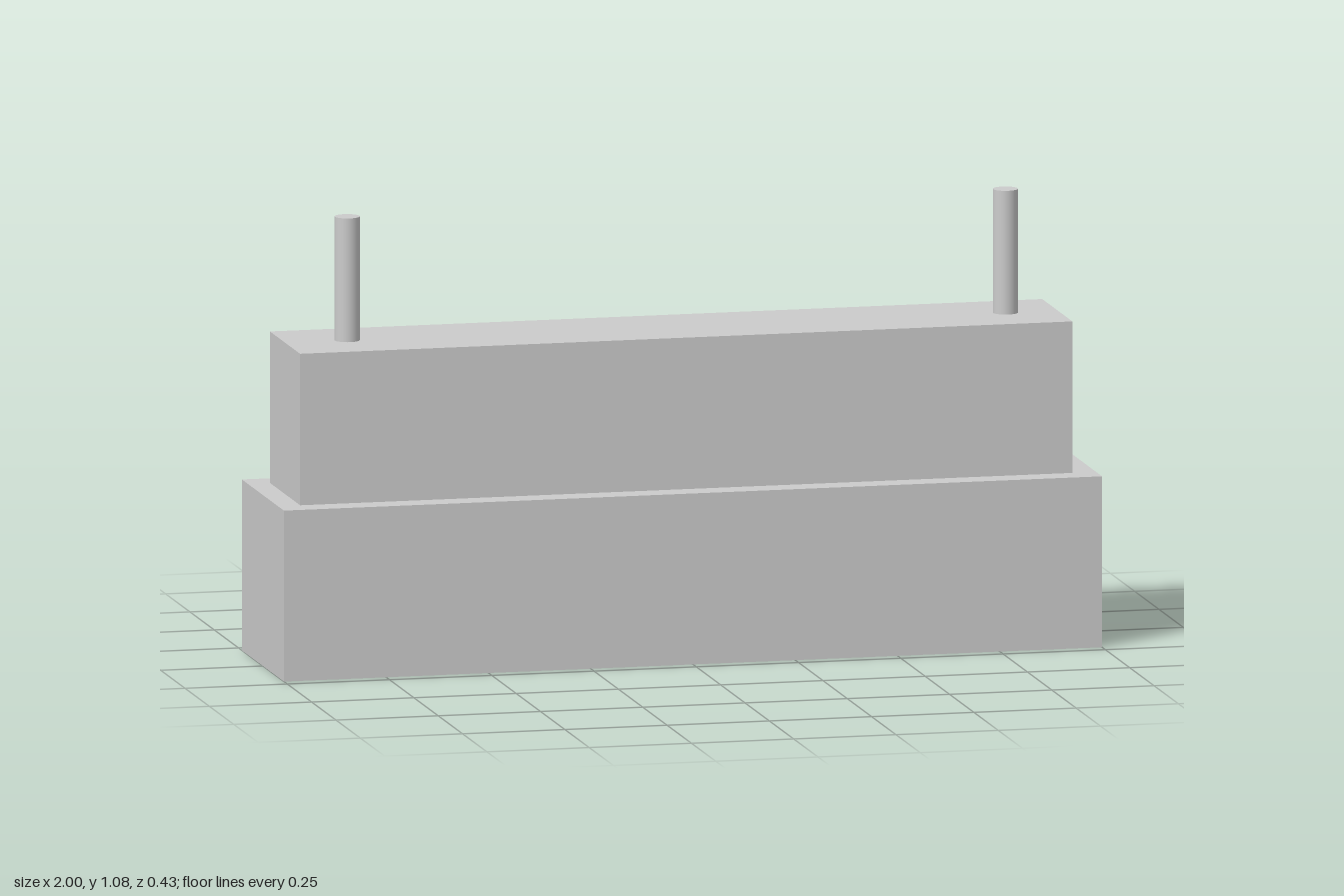
import * as THREE from 'three';

export function createModel() {
  const model = new THREE.Group();
  const material = new THREE.MeshStandardMaterial({ color: 0xcccccc });

  // Each part rests on height y0 and rises to y1
  const addPart = (name, geometry, x, y0, y1) => {
    const mesh = new THREE.Mesh(geometry, material);
    mesh.name = name;
    mesh.position.set(x, (y0 + y1) / 2, 0);
    model.add(mesh);
  };

  const baseTop = 0.413, blockTop = 0.779, pegTop = 1.078;

  // Two stacked blocks
  addPart('base', new THREE.BoxGeometry(2, baseTop, 0.432), 0, 0, baseTop);
  addPart('upperBlock', new THREE.BoxGeometry(1.888, blockTop - baseTop, 0.31), -0.002, baseTop, blockTop);

  // Round pegs standing near the ends
  for (const [name, x] of [['rightPeg', -0.794], ['leftPeg', 0.815]]) {
    addPart(name, new THREE.CylinderGeometry(0.03, 0.03, pegTop - blockTop, 32), x, blockTop, pegTop);
  }

  return model;
}
